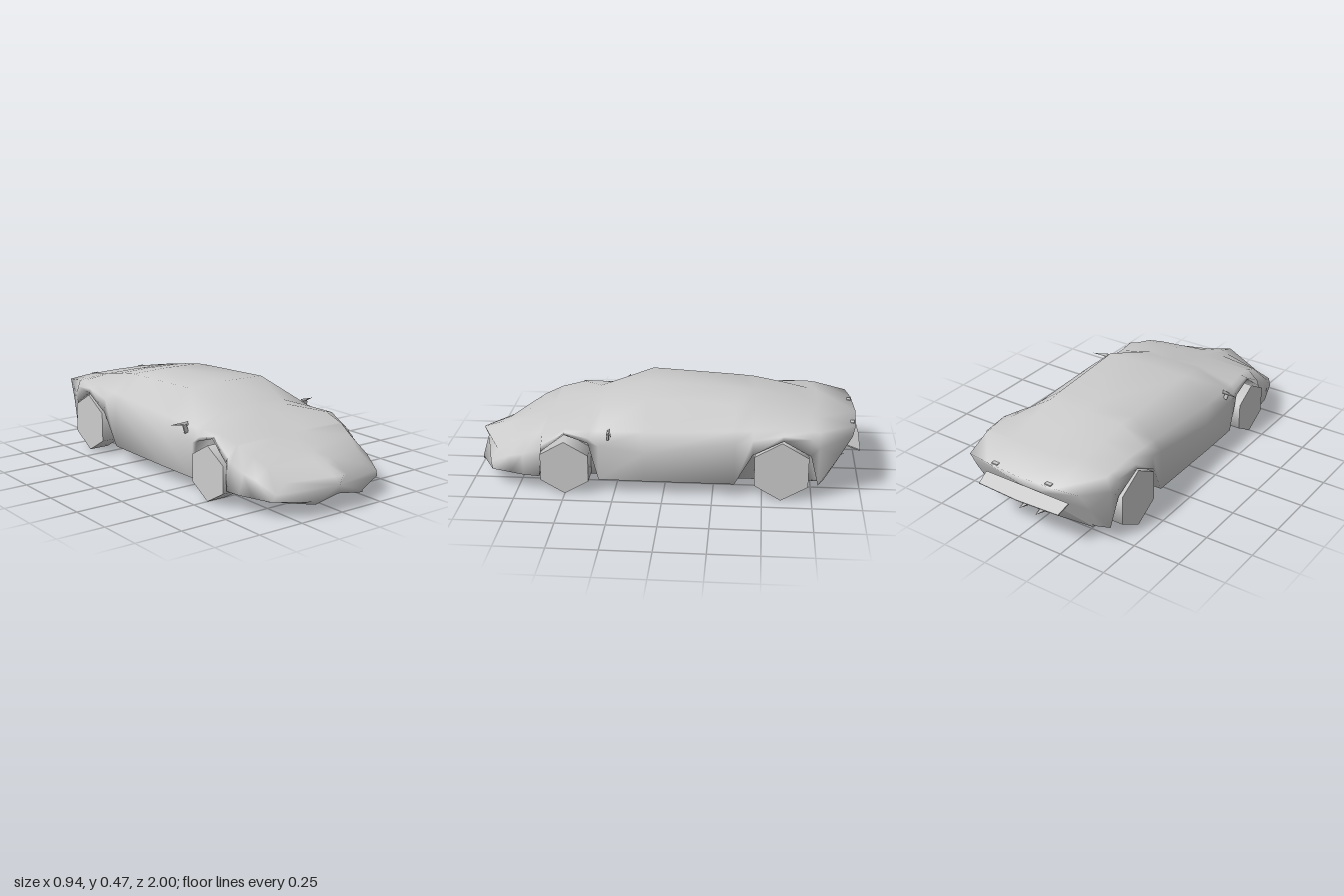
import * as THREE from 'three';

const material = new THREE.MeshStandardMaterial({ color: 0xcccccc });
const thin = new THREE.MeshStandardMaterial({ color: 0xcccccc, side: THREE.DoubleSide });

// Upper half-sections, nose to tail: z, centre height, roof edge x y, shoulder x y
const UPPER = [
  [1.00, 0.18, 0.04, 0.178, 0.25, 0.16],
  [0.88, 0.217, 0.05, 0.222, 0.28, 0.22],
  [0.78, 0.25, 0.06, 0.256, 0.31, 0.26],
  [0.64, 0.295, 0.086, 0.297, 0.33, 0.295],
  [0.62, 0.301, 0.092, 0.303, 0.33, 0.30],
  [0.50, 0.34, 0.124, 0.34, 0.345, 0.328],
  [0.38, 0.378, 0.158, 0.376, 0.36, 0.325],
  [0.33, 0.393, 0.172, 0.39, 0.365, 0.325],
  [0.10, 0.465, 0.235, 0.458, 0.38, 0.335],
  [-0.36, 0.442, 0.225, 0.436, 0.352, 0.342],
  [-0.45, 0.435, 0.22, 0.43, 0.352, 0.345],
  [-0.60, 0.41, 0.21, 0.405, 0.357, 0.357],
  [-0.74, 0.38, 0.20, 0.377, 0.365, 0.357],
  [-0.78, 0.37, 0.20, 0.368, 0.365, 0.353],
  [-0.98, 0.33, 0.20, 0.33, 0.33, 0.325],
];
// Lower half-sections: waist x y, sill or wheel-arch lip x y
const LOWER = [
  [0.32, 0.12, 0.335, 0.085],
  [0.355, 0.17, 0.37, 0.085],
  [0.375, 0.19, 0.395, 0.085],
  [0.38, 0.22, 0.405, 0.085],
  [0.39, 0.25, 0.40, 0.22],
  [0.38, 0.32, 0.39, 0.31],
  [0.38, 0.29, 0.395, 0.27],
  [0.385, 0.25, 0.39, 0.07],
  [0.388, 0.22, 0.395, 0.07],
  [0.395, 0.29, 0.395, 0.07],
  [0.405, 0.315, 0.41, 0.24],
  [0.405, 0.343, 0.415, 0.322],
  [0.40, 0.33, 0.405, 0.24],
  [0.39, 0.28, 0.385, 0.075],
  [0.345, 0.22, 0.33, 0.08],
];

function bodyGeometry() {
  const positions = [], index = [];
  const count = UPPER.length;
  UPPER.forEach(([z, top, rx, ry, sx, sy], i) => {
    const [mx, my, lx, ly] = LOWER[i];
    const inner = i === 0 ? 0.15 : Math.min(0.305, lx * 0.9);
    const half = [[0, top], [rx, ry], [sx, sy], [mx, my], [lx, ly],
      [inner, i === 0 ? 0.075 : ly], [inner, 0.062], [0, i === 0 ? 0.085 : 0.056]];
    const ring = half.concat(half.slice(1, -1).reverse().map(([x, y]) => [-x, y]));
    // The nose sweeps back in plan, its hood to a point; the tail leans forward below
    const sweep = Math.max(0, (z - 0.62) / 0.38);
    ring.forEach(([x, y], j) => {
      const curve = j < 3 || j > 11 ? 0.5 * Math.abs(x) : x * x;
      const tail = i === count - 1 ? (0.33 - y) * 0.55 + 0.3 * x * x : 0;
      const lip = i === 0 && j === 7 ? 0.03 : 0;
      positions.push(x, y, z - sweep * curve + tail - lip);
    });
  });
  // Skin, with the diagonals mirrored about the centre line
  const n = 14;
  for (let i = 0; i < count - 1; i++) {
    for (let j = 0; j < n; j++) {
      const a = i * n + j, b = i * n + (j + 1) % n;
      if (j < n / 2) index.push(a, b, a + n, b, b + n, a + n);
      else index.push(a, b, b + n, a, b + n, a + n);
    }
  }
  // Nose cap and shallow tail panel
  const nose = count * n, tail = nose + 1, last = (count - 1) * n;
  positions.push(0, 0.13, 0.98, 0, 0.2, -0.895);
  for (let j = 0; j < n; j++) {
    const k = (j + 1) % n;
    index.push(nose, k, j, tail, last + j, last + k);
  }
  const g = new THREE.BufferGeometry();
  g.setAttribute('position', new THREE.Float32BufferAttribute(positions, 3));
  g.setIndex(index);
  g.computeVertexNormals();
  return g;
}

// Flat outline of [x, y] points given a thickness along z
function plate(points, depth) {
  const shape = new THREE.Shape(points.map(([x, y]) => new THREE.Vector2(x, y)));
  return new THREE.ExtrudeGeometry(shape, { depth, bevelEnabled: false });
}

// Sharp triangular blade pointing outwards and slightly back
function blade(s) {
  const g = new THREE.ConeGeometry(0.013, 0.1, 3);
  g.scale(1, 1, 0.6);
  g.rotateZ(-s * Math.PI / 2);
  g.rotateY(s * 0.25);
  return g;
}

export function createModel() {
  const car = new THREE.Group();
  car.name = 'car';
  const add = (name, geometry, x, y, z, mat = material) => {
    const mesh = new THREE.Mesh(geometry, mat);
    mesh.name = name;
    mesh.position.set(x, y, z);
    car.add(mesh);
    return mesh;
  };

  add('body', bodyGeometry(), 0, 0, 0);

  // Rear bumper: a thin blade sloping down to its trailing edge, with a keel below
  const bumper = plate([[-0.25, 0], [0.25, 0], [0.24, 0.075], [0, 0.084], [-0.24, 0.075]], 0.006);
  bumper.rotateX(-Math.PI / 2 - 0.4);
  add('rearBumper', bumper, 0, 0.238, -0.922);
  const keel = plate([[-0.14, 0], [0, -0.08], [0.14, 0]], 0.015);
  keel.rotateX(-0.5);
  add('rearKeel', keel, 0, 0.22, -0.945);

  for (const s of [1, -1]) {
    const side = s > 0 ? 'left' : 'right';
    // Six-sided wheels with a corner at the top
    for (const [end, z, r] of [['Front', 0.5, 0.141], ['Rear', -0.595, 0.156]]) {
      const wheel = new THREE.CylinderGeometry(r, r, 0.113, 6, 1, false, Math.PI / 2);
      wheel.rotateZ(Math.PI / 2);
      add(side + end + 'Wheel', wheel, s * 0.363, r, z);
    }
    add(side + 'Mirror', blade(s), s * 0.42, 0.333, 0.262, thin);
    const stalk = add(side + 'MirrorStalk', new THREE.BoxGeometry(0.02, 0.045, 0.01), s * 0.39, 0.312, 0.278);
    stalk.rotation.z = -s * 0.3;
    // Small fittings on the tail
    add(side + 'TailFitting', new THREE.BoxGeometry(0.035, 0.008, 0.02), s * 0.16, 0.333, -0.953);
    const exhaust = new THREE.ConeGeometry(0.025, 0.08, 4);
    exhaust.rotateX(-Math.PI / 2);
    add(side + 'Exhaust', exhaust, s * 0.05, 0.105, -0.89);
  }
  return car;
}
